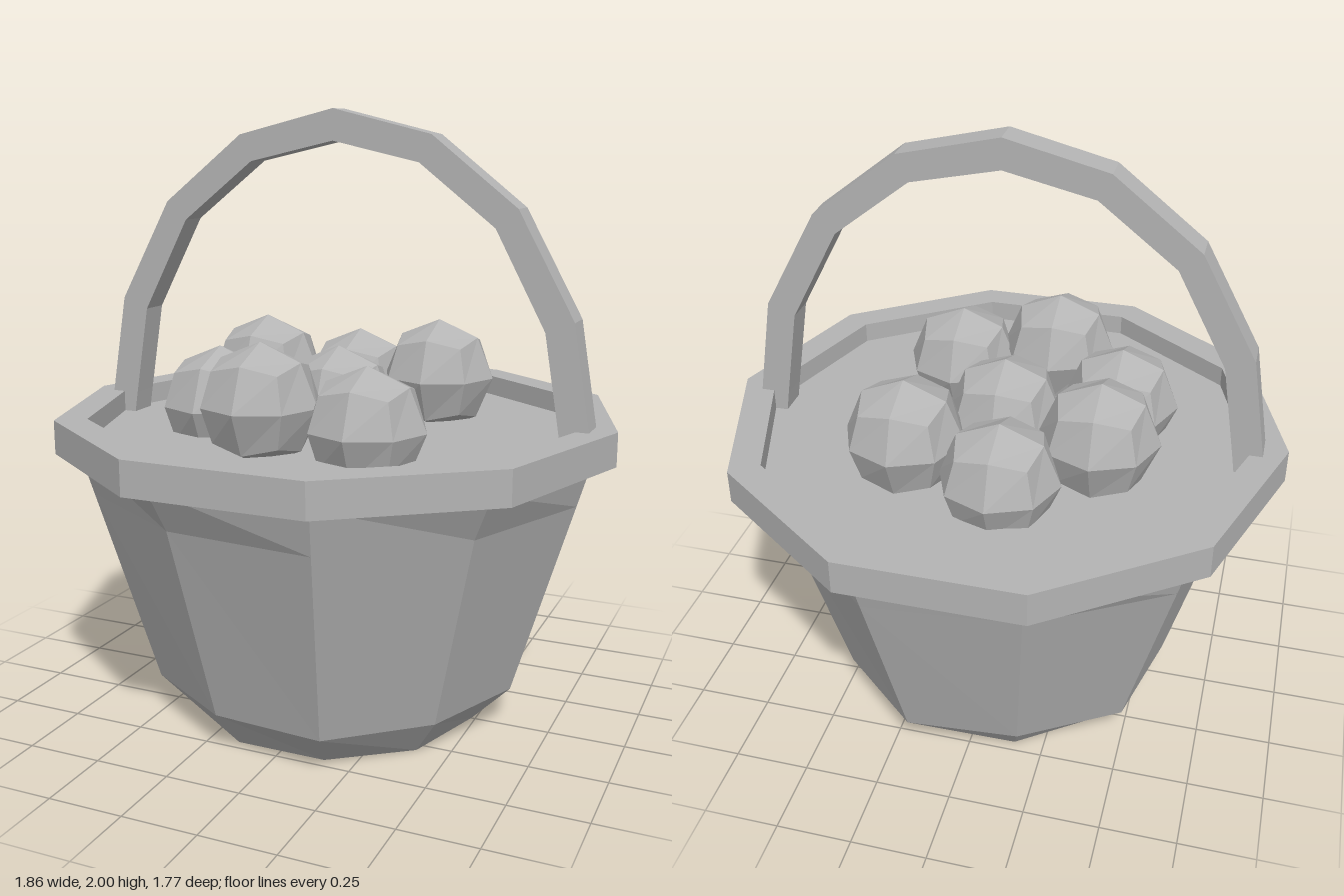
import * as THREE from 'three';

const SIDES = 10;

export function createModel() {
  const model = new THREE.Group();
  model.name = 'fruitBasket';
  const grey = new THREE.MeshStandardMaterial({ color: 0xb4b4b4 });
  grey.name = 'plain grey';
  grey.flatShading = true;

  const add = (name, geometry, parent = model) => {
    const mesh = new THREE.Mesh(geometry, grey);
    mesh.name = name;
    parent.add(mesh);
    return mesh;
  };
  // Ten-sided turned shape with corners on the x axis
  const turned = (profile) => new THREE.LatheGeometry(
    profile.map(([r, y]) => new THREE.Vector2(r, y)), SIDES, Math.PI / 2);

  // Tapered body; every second corner is drawn in a little
  const profile = [[0, 0], [0.487, 0], [0.617, 0.13], [0.812, 0.78], [0.857, 0.93]];
  const pinch = [1, 1, 0.95, 0.943, 0.985];
  const body = turned(profile);
  const pos = body.attributes.position;
  for (let i = 1; i < SIDES; i += 2) {
    pinch.forEach((k, j) => {
      const v = i * profile.length + j;
      pos.setX(v, pos.getX(v) * k);
      pos.setZ(v, pos.getZ(v) * k);
    });
  }
  add('body', body);

  // Overhanging rim and the recessed floor inside it
  add('rim', turned([[0.8, 0.92], [0.93, 0.92], [0.93, 1.03], [0.825, 1.03], [0.825, 0.95]]));
  add('innerFloor', turned([[0.83, 0.96], [0, 0.96]]));

  // Arched handle, half outlines mirrored across x
  const outer = [[0.862, 0.96], [0.852, 1.03], [0.795, 1.365], [0.61, 1.7], [0.33, 1.92], [0, 2]];
  const inner = [[0, 1.9], [0.29, 1.835], [0.54, 1.64], [0.705, 1.33], [0.755, 1.03], [0.766, 0.96]];
  const mirror = (pts) => pts.map(([x, y]) => [-x, y]).reverse();
  const outline = [
    ...outer, ...mirror(outer).slice(1),
    ...mirror(inner), ...inner.slice(1),
  ].map(([x, y]) => new THREE.Vector2(x, y));
  const handle = new THREE.ExtrudeGeometry(new THREE.Shape(outline), { depth: 0.1, bevelEnabled: false });
  handle.translate(0, 0, -0.05);
  add('handle', handle);

  // Round fruit: a cube split 2 x 2 per side, puffed into a ball
  const ball = new THREE.BoxGeometry(2, 2, 2, 2, 2, 2);
  const p = ball.attributes.position;
  const v = new THREE.Vector3();
  for (let i = 0; i < p.count; i++) {
    v.fromBufferAttribute(p, i).setLength(0.194);
    p.setXYZ(i, v.x, v.y, v.z);
  }
  const fruits = new THREE.Group();
  fruits.name = 'fruits';
  model.add(fruits);
  [
    [-0.08, 1.045, -0.385], [0.245, 1.106, -0.31], [-0.35, 1.106, -0.18], [0, 1.045, 0],
    [-0.36, 1.045, 0.155], [-0.1, 1.106, 0.375], [0.23, 1.045, 0.315],
  ].forEach((c, i) => add(`fruit${i + 1}`, ball, fruits).position.set(...c));

  return model;
}
